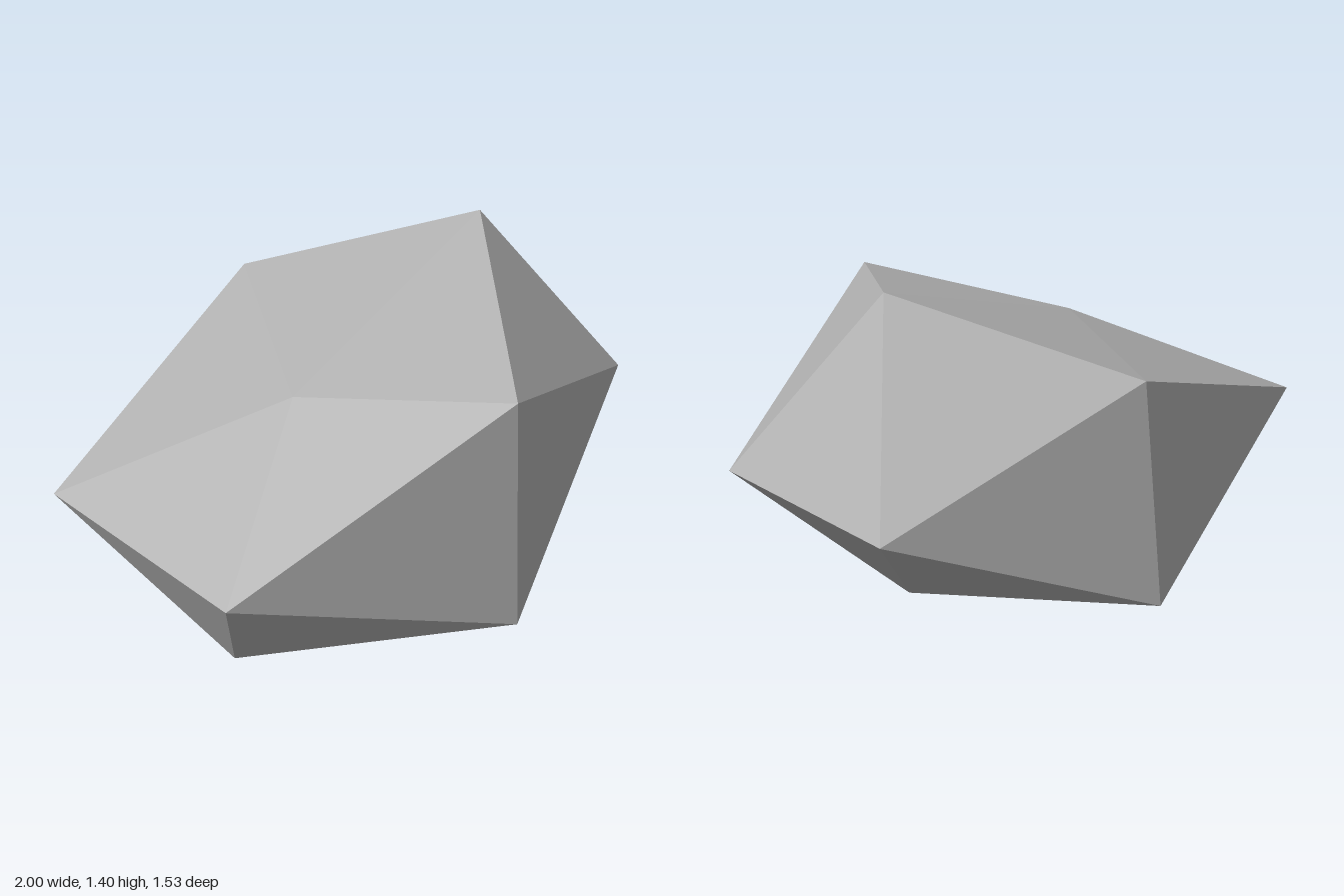
import * as THREE from 'three';

// Faceted rock: an icosahedron whose twelve corners are pushed out of place.
export function createModel() {
  const stone = new THREE.MeshStandardMaterial({ color: 0xb0b0b0 });
  stone.name = 'stone grey';
  stone.flatShading = true;

  const corners = [
    [-0.34, 1.08, 0.04], [0.635, 1.4, -0.02],   // top pair
    [-0.6, 0, -0.02], [0.46, 0.19, 0.075],      // bottom pair
    [0.06, 0.265, 0.765], [0.06, 1.2, 0.71],    // front pair
    [0.06, 0.29, -0.765], [0.08, 1.11, -0.69],  // back pair
    [1, 0.71, -0.37], [1, 0.75, 0.385],         // left pair
    [-1, 0.72, -0.485], [-1, 0.75, 0.435],      // right pair
  ];
  const faces = [
    [0, 11, 5], [0, 5, 1], [0, 1, 7], [0, 7, 10], [0, 10, 11],
    [1, 5, 9], [5, 11, 4], [11, 10, 2], [10, 7, 6], [7, 1, 8],
    [3, 9, 4], [3, 4, 2], [3, 2, 6], [3, 6, 8], [3, 8, 9],
    [4, 9, 5], [2, 4, 11], [6, 2, 10], [8, 6, 7], [9, 8, 1],
  ];

  // Unshared corners give every facet its own flat normal
  const positions = faces.flat().flatMap((i) => corners[i]);
  const geometry = new THREE.BufferGeometry();
  geometry.setAttribute('position', new THREE.Float32BufferAttribute(positions, 3));
  geometry.computeVertexNormals();

  const rock = new THREE.Mesh(geometry, stone);
  rock.name = 'rock';
  const model = new THREE.Group();
  model.name = 'facetedRock';
  model.add(rock);
  return model;
}
